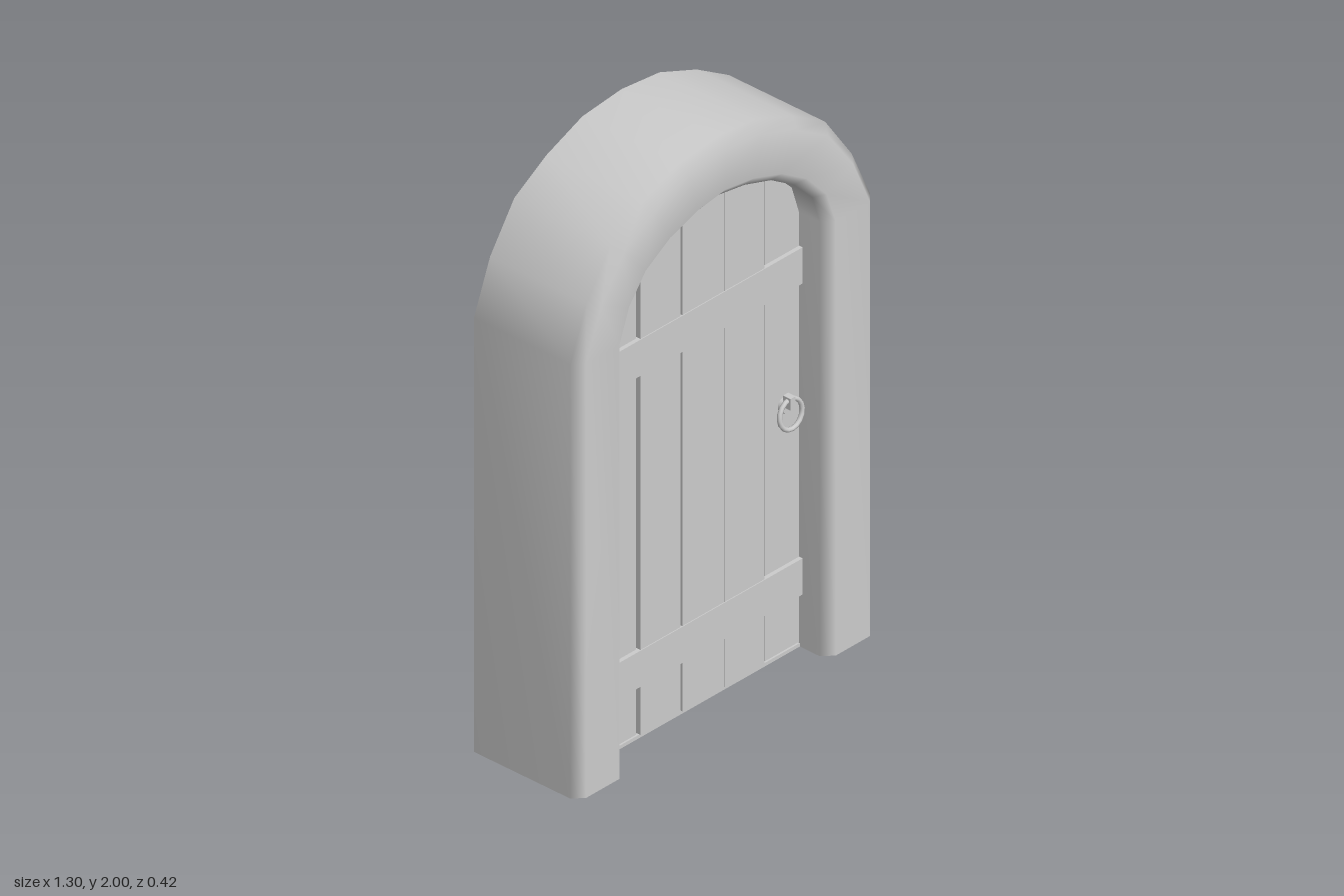
import * as THREE from 'three';

// Outer and inner outlines of the stone arch, paired point by point
const OUTER = [[-0.65, 0], [-0.65, 1.5], [-0.58, 1.68], [-0.475, 1.835], [-0.335, 1.92], [-0.18, 1.983], [-0.01, 2],
  [0.155, 1.983], [0.315, 1.92], [0.455, 1.837], [0.57, 1.675], [0.65, 1.5], [0.65, 0]];
const INNER = [[-0.437, 0], [-0.437, 1.5], [-0.4, 1.6], [-0.335, 1.68], [-0.235, 1.742], [-0.12, 1.778], [-0.01, 1.795],
  [0.105, 1.778], [0.22, 1.742], [0.32, 1.68], [0.4, 1.6], [0.432, 1.5], [0.432, 0]];

// Height of the inner arch at x
function archY(x) {
  for (let i = 1; i < INNER.length - 2; i++) {
    const [x0, y0] = INNER[i], [x1, y1] = INNER[i + 1];
    if (x >= x0 && x <= x1) return y0 + (y1 - y0) * (x - x0) / (x1 - x0);
  }
  return 1.5;
}

// Hollow frame shell, open at the back: a bevelled section swept along the arch
function frameGeometry() {
  const section = [[0, -0.21], [0, 0.175], [0.16, 0.207], [0.84, 0.207], [1, 0.175], [1, -0.21]];
  const pos = [], index = [], n = section.length;
  OUTER.forEach(([ox, oy], i) => {
    const [ix, iy] = INNER[i];
    for (const [u, z] of section) pos.push(ox + (ix - ox) * u, oy + (iy - oy) * u, z);
  });
  for (let i = 0; i < OUTER.length - 1; i++) {
    for (let j = 0; j < n - 1; j++) {
      const a = i * n + j, b = a + 1, c = a + n, d = c + 1;
      index.push(a, b, c, b, d, c);
    }
  }
  const g = new THREE.BufferGeometry();
  g.setAttribute('position', new THREE.Float32BufferAttribute(pos, 3));
  g.setIndex(index);
  g.computeVertexNormals();
  return g;
}

export function createModel() {
  const model = new THREE.Group();
  const grey = new THREE.MeshStandardMaterial({ color: 0xcccccc, side: THREE.DoubleSide });
  grey.name = 'plain grey';

  const add = (name, geometry, x = 0, y = 0, z = 0, parent = model) => {
    const mesh = new THREE.Mesh(geometry, grey);
    mesh.name = name;
    mesh.position.set(x, y, z);
    parent.add(mesh);
    return mesh;
  };

  add('archFrame', frameGeometry());

  const door = new THREE.Group();
  door.name = 'door';
  model.add(door);

  // Upright boards; the outer two sit a little deeper, tops run up inside the frame
  const boards = [[-0.45, -0.275, 0.092], [-0.267, -0.094, 0.103], [-0.086, 0.0955, 0.103],
    [0.0965, 0.271, 0.103], [0.285, 0.45, 0.092]];
  for (const [x0, x1, front] of boards) {
    const s = new THREE.Shape();
    s.moveTo(x0, 0.015);
    s.lineTo(x1, 0.015);
    s.lineTo(x1, archY(x1) + 0.08);
    s.lineTo(x0, archY(x0) + 0.08);
    s.closePath();
    const depth = front - 0.065;
    add('board', new THREE.ExtrudeGeometry(s, { depth, bevelEnabled: false }), 0, 0, 0.065, door);
  }

  // Battens behind the joints
  for (const x of [-0.271, -0.09, 0.096, 0.278]) {
    const h = archY(x) + 0.04;
    add('jointBatten', new THREE.BoxGeometry(0.032, h - 0.02, 0.025), x, h / 2 + 0.01, 0.055, door);
  }

  // Cross bands and threshold strip
  for (const y of [0.247, 1.322]) {
    add('crossBand', new THREE.BoxGeometry(0.88, 0.125, 0.03), 0, y, 0.091, door);
  }
  add('threshold', new THREE.BoxGeometry(0.87, 0.012, 0.03), 0, 0.006, 0.08, door);

  // Ring handle with mounting plate and staple
  const handle = new THREE.Group();
  handle.name = 'ringHandle';
  handle.position.set(0.365, 0.845, 0.115);
  door.add(handle);
  const ring = add('pullRing', new THREE.TorusGeometry(0.049, 0.008, 8, 16), 0, 0, 0.006, handle);
  ring.rotation.x = -0.1;
  const plate = add('handlePlate', new THREE.CylinderGeometry(0.024, 0.026, 0.02, 10), 0, 0.022, -0.015, handle);
  plate.rotation.x = Math.PI / 2;
  add('ringStaple', new THREE.BoxGeometry(0.022, 0.04, 0.03), 0, 0.04, 0.0, handle);

  return model;
}
